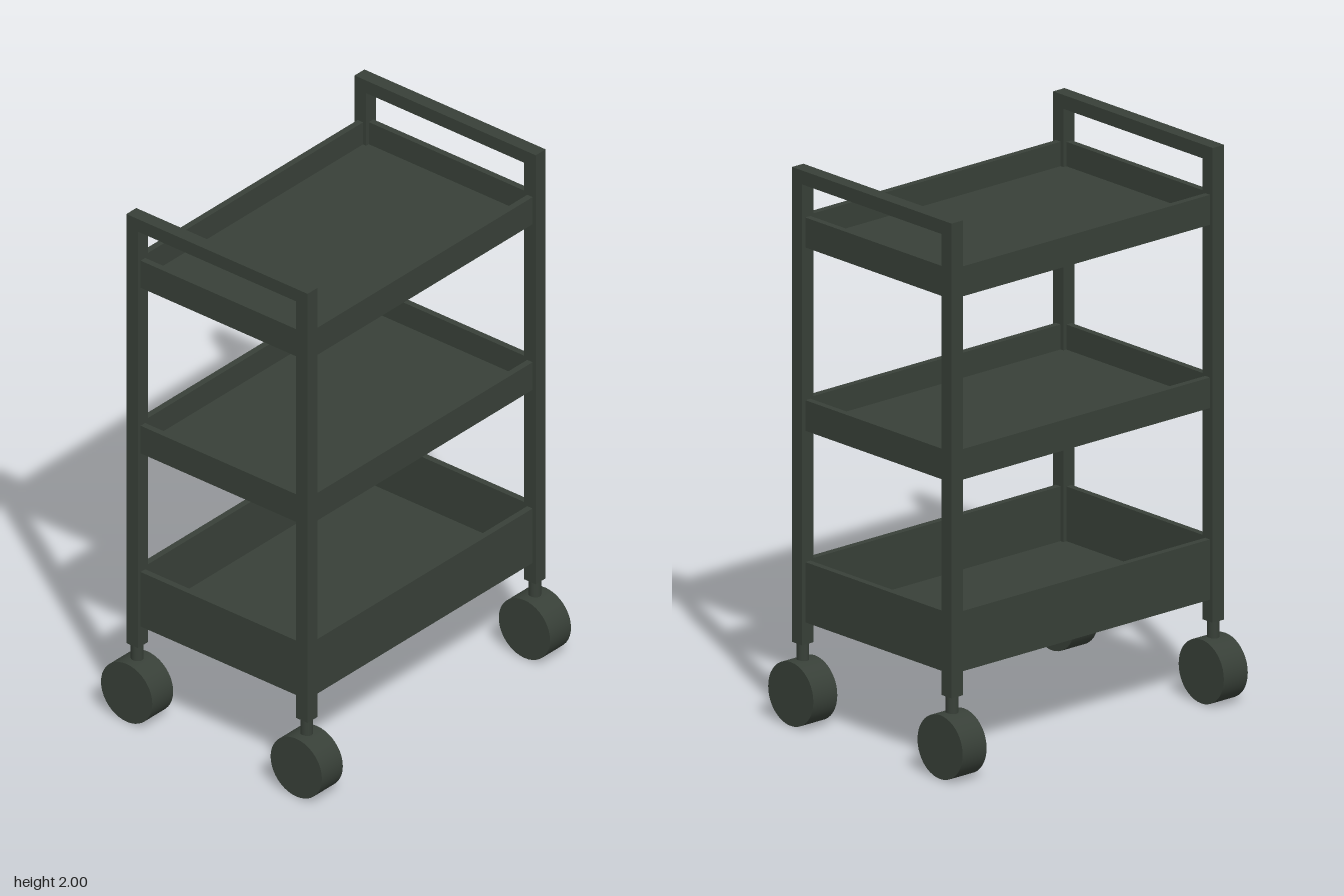
import * as THREE from 'three';

const POST_X = 0.6, POST_Z = 0.38, POST_W = 0.052, WALL = 0.024;

export function createModel() {
  const cart = new THREE.Group();
  cart.name = 'trolley';
  const paint = new THREE.MeshStandardMaterial({ color: 0x384038 });
  paint.name = 'dark green grey';

  const add = (parent, name, geometry, x, y, z) => {
    const mesh = new THREE.Mesh(geometry, paint);
    mesh.name = name;
    mesh.position.set(x, y, z);
    parent.add(mesh);
    return mesh;
  };
  const box = (w, h, d) => new THREE.BoxGeometry(w, h, d);

  // Open trays: floor between four thin walls
  const addTray = (name, bottom, top) => {
    const tray = new THREE.Group();
    tray.name = name;
    const h = top - bottom, y = (top + bottom) / 2;
    add(tray, 'trayFloor', box(2 * POST_X - WALL, 0.02, 2 * POST_Z - WALL), 0, bottom + 0.01, 0);
    for (const s of [-1, 1]) {
      add(tray, 'longWall', box(2 * POST_X - WALL, h, WALL), 0, y, s * POST_Z);
      add(tray, 'endWall', box(WALL, h, 2 * POST_Z), s * POST_X, y, 0);
    }
    cart.add(tray);
  };
  addTray('bottomTray', 0.37, 0.587);
  addTray('middleTray', 1.06, 1.17);
  addTray('topTray', 1.72, 1.828);

  // End frames: two posts joined by a handle rail, each post on a caster
  const wheelGeometry = new THREE.CylinderGeometry(0.115, 0.115, 0.11, 40).rotateZ(Math.PI / 2);
  const stemGeometry = new THREE.CylinderGeometry(0.022, 0.022, 0.13, 20);
  for (const sx of [-1, 1]) {
    const x = sx * POST_X;
    add(cart, 'handleRail', box(POST_W, 0.05, 2 * POST_Z - POST_W), x, 1.975, 0);
    for (const sz of [-1, 1]) {
      const z = sz * POST_Z;
      add(cart, 'post', box(POST_W, 1.71, POST_W), x, 1.145, z);
      add(cart, 'casterStem', stemGeometry, x, 0.245, z);
      add(cart, 'wheel', wheelGeometry, x, 0.115, z);
    }
  }
  return cart;
}
